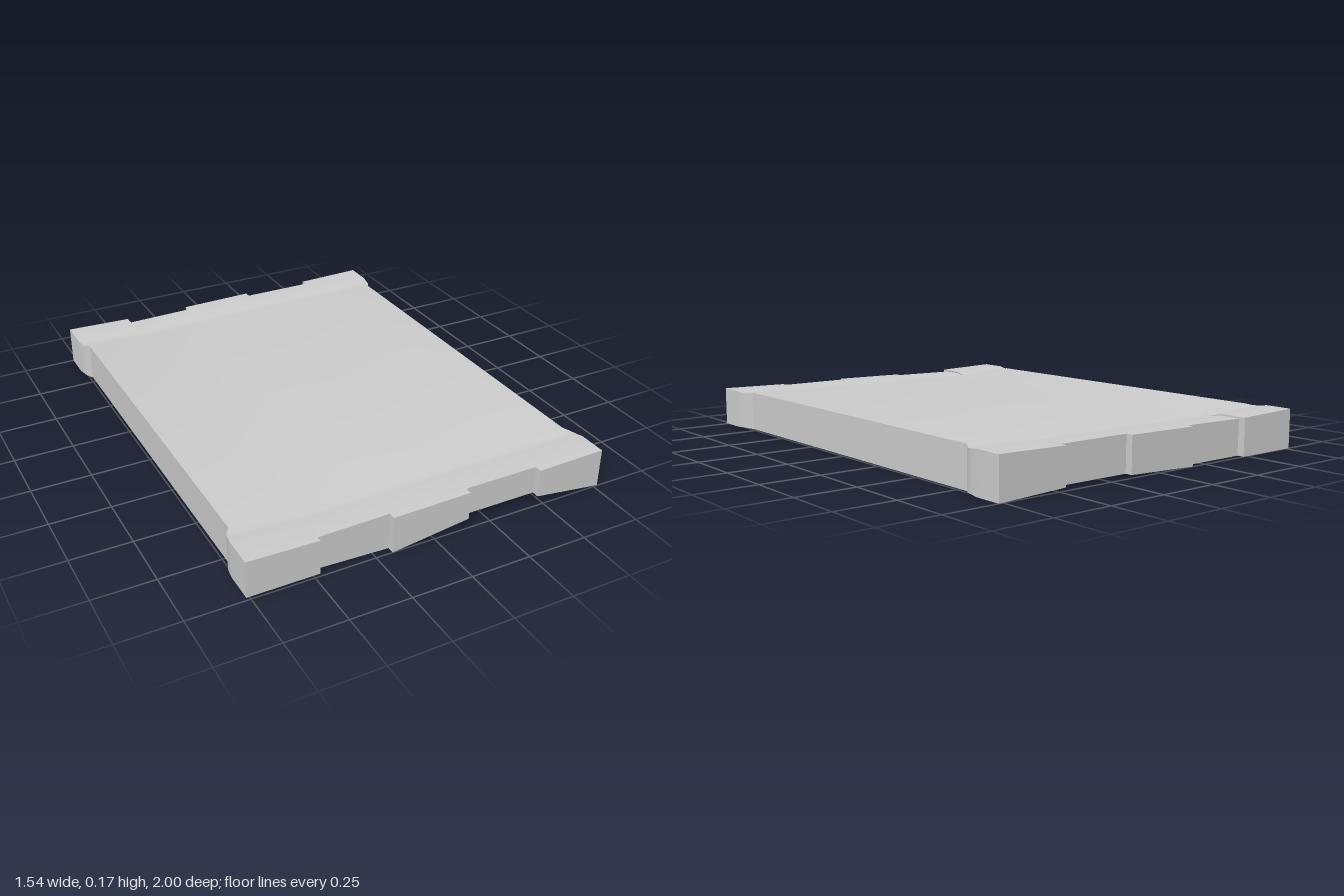
import * as THREE from 'three';
import { toCreasedNormals } from 'three/addons/utils/BufferGeometryUtils.js';

// Columns across the slab: x, end z, end top, body top, body bottom, front end bottom.
// Doubled x values make the stepped, notched end edges.
const COLUMNS = [
  [-0.77, 1, 0.165, 0.165, 0, 0.012],
  [-0.48, 1, 0.157, 0.15, 0, 0.012],
  [-0.48, 0.97, 0.15, 0.15, 0, 0.012],
  [-0.18, 0.97, 0.155, 0.154, 0, 0],
  [-0.18, 1, 0.155, 0.154, 0, 0],
  [0.15, 1, 0.16, 0.158, 0.012, 0.042],
  [0.15, 0.97, 0.16, 0.158, 0.012, 0.042],
  [0.47, 0.97, 0.16, 0.158, 0.012, 0.042],
  [0.47, 1, 0.16, 0.158, 0.012, 0.042],
  [0.77, 1, 0.166, 0.166, 0, 0.002],
];

// Rows from the middle to an end: z, half width, blend to end shape, groove depth
const HALF_ROWS = [
  [0.79, 0.738, 0, 0],
  [0.82, 0.758, 0.25, 0.006],
  [0.85, 0.764, 0.6, 0.005],
  [0.88, 0.768, 1, 0],
  [1, 0.768, 1, 0],
];

function createSlab() {
  const rows = [
    ...HALF_ROWS.map((r) => [...r, -1]).reverse(),
    ...HALF_ROWS.map((r) => [...r, 1]),
  ];
  const nc = COLUMNS.length;
  const top = [], bottom = [];
  for (const [z, half, blend, groove, side] of rows) {
    COLUMNS.forEach(([cx, endZ, endTop, bodyTop, bodyBottom, frontBottom], i) => {
      const x = i === 0 ? -half : i === nc - 1 ? half : cx;
      const pz = side * (z === 1 ? endZ : z);
      const endBottom = side > 0 ? frontBottom : bodyBottom;
      top.push([x, THREE.MathUtils.lerp(bodyTop, endTop, blend) - groove, pz]);
      bottom.push([x, THREE.MathUtils.lerp(bodyBottom, endBottom, blend) + groove * 0.5, pz]);
    });
  }

  const positions = [];
  const quad = (a, b, c, d) => positions.push(...a, ...b, ...c, ...a, ...c, ...d);
  const last = (rows.length - 1) * nc;

  // Upper and lower faces
  for (let r = 0; r < rows.length - 1; r++) {
    for (let c = 0; c < nc - 1; c++) {
      if (COLUMNS[c][0] === COLUMNS[c + 1][0]) continue;
      const i = r * nc + c, j = i + nc;
      quad(top[i], top[j], top[j + 1], top[i + 1]);
      quad(bottom[i], bottom[i + 1], bottom[j + 1], bottom[j]);
    }
    // Long side walls
    const l = r * nc, k = l + nc - 1;
    quad(bottom[l], bottom[l + nc], top[l + nc], top[l]);
    quad(bottom[k + nc], bottom[k], top[k], top[k + nc]);
  }

  // Notched end walls
  for (let c = 0; c < nc - 1; c++) {
    const f = last + c;
    quad(bottom[f], bottom[f + 1], top[f + 1], top[f]);
    quad(bottom[c + 1], bottom[c], top[c], top[c + 1]);
  }

  const geometry = new THREE.BufferGeometry();
  geometry.setAttribute('position', new THREE.Float32BufferAttribute(positions, 3));
  geometry.computeVertexNormals();
  return toCreasedNormals(geometry, 0.5);
}

export function createModel() {
  const group = new THREE.Group();
  group.name = 'panel';
  const slab = new THREE.Mesh(
    createSlab(),
    new THREE.MeshStandardMaterial({ color: 0xcccccc, side: THREE.DoubleSide })
  );
  slab.name = 'slab';
  group.add(slab);
  return group;
}
